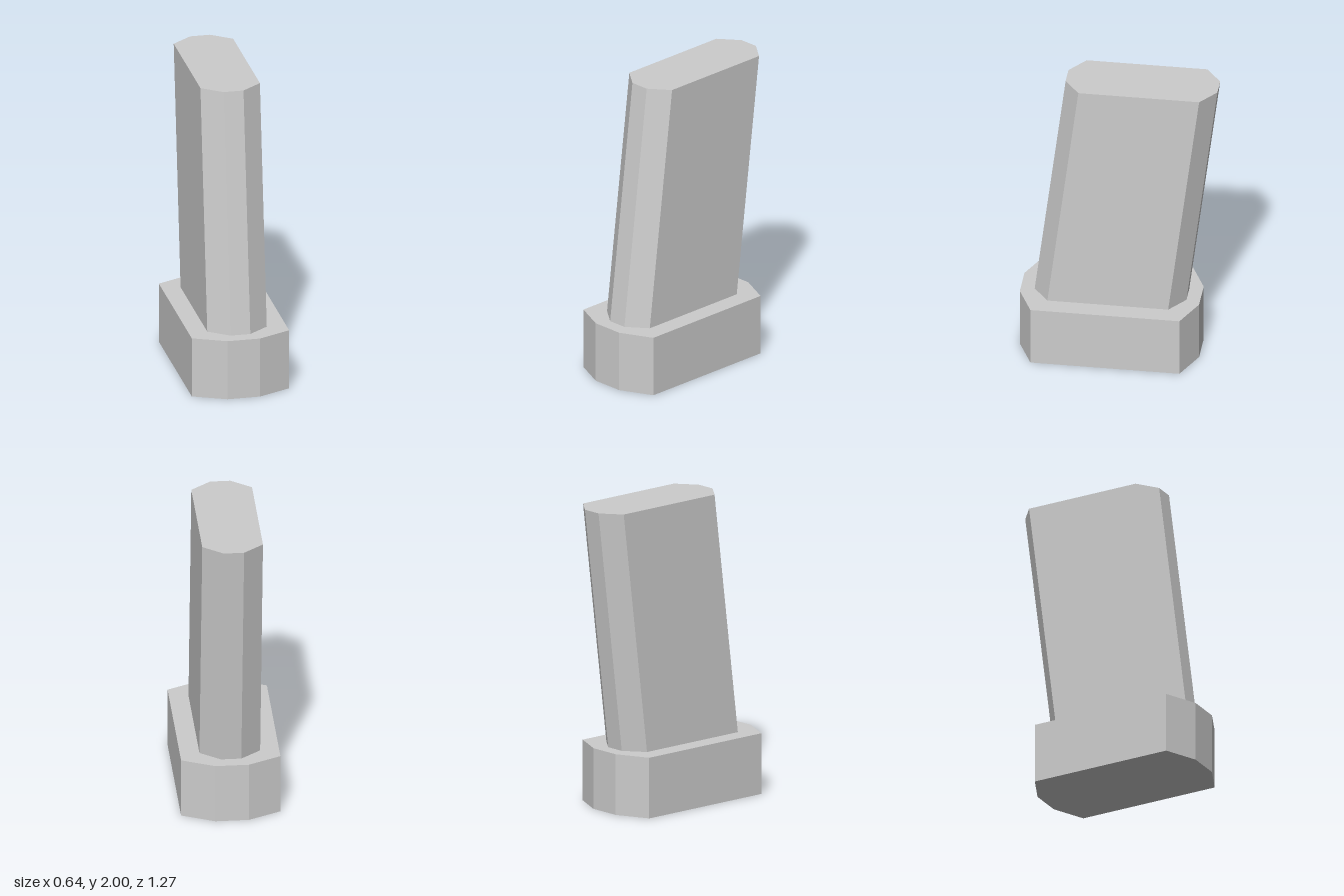
import * as THREE from 'three';

const material = new THREE.MeshStandardMaterial({ color: 0xcccccc, flatShading: true });

// Upright prism with a chamfered rectangular outline; x and z are measured from its own centre
function chamferedPrism(name, halfWidth, endHalfWidth, halfLength, sideHalfLength, height) {
  const outline = new THREE.Shape([
    [endHalfWidth, halfLength], [-endHalfWidth, halfLength],
    [-halfWidth, sideHalfLength], [-halfWidth, -sideHalfLength],
    [-endHalfWidth, -halfLength], [endHalfWidth, -halfLength],
    [halfWidth, -sideHalfLength], [halfWidth, sideHalfLength],
  ].map(([x, y]) => new THREE.Vector2(x, y)));
  const geometry = new THREE.ExtrudeGeometry(outline, { depth: height, bevelEnabled: false });
  geometry.rotateX(-Math.PI / 2);
  const mesh = new THREE.Mesh(geometry, material);
  mesh.name = name;
  return mesh;
}

export function createModel() {
  const model = new THREE.Group();
  model.name = 'slantedGrip';

  // Base block
  const base = chamferedPrism('base', 0.319, 0.107, 0.579, 0.481, 0.4);
  base.position.set(0, 0, 0.056);

  // Column, sheared towards the back
  const height = 1.6;
  const column = chamferedPrism('column', 0.195, 0.065, 0.49, 0.39, height);
  const lean = new THREE.Matrix4().makeShear(0, 0, 0, -0.2 / height, 0, 0);
  const p = column.geometry.attributes.position;
  for (let i = 0; i < p.count; i++) p.setZ(i, p.getZ(i) - 0.2 * p.getY(i) / height);
  column.geometry.computeVertexNormals();
  column.position.set(-0.002, 0.4, 0.055);

  model.add(base, column);
  return model;
}
